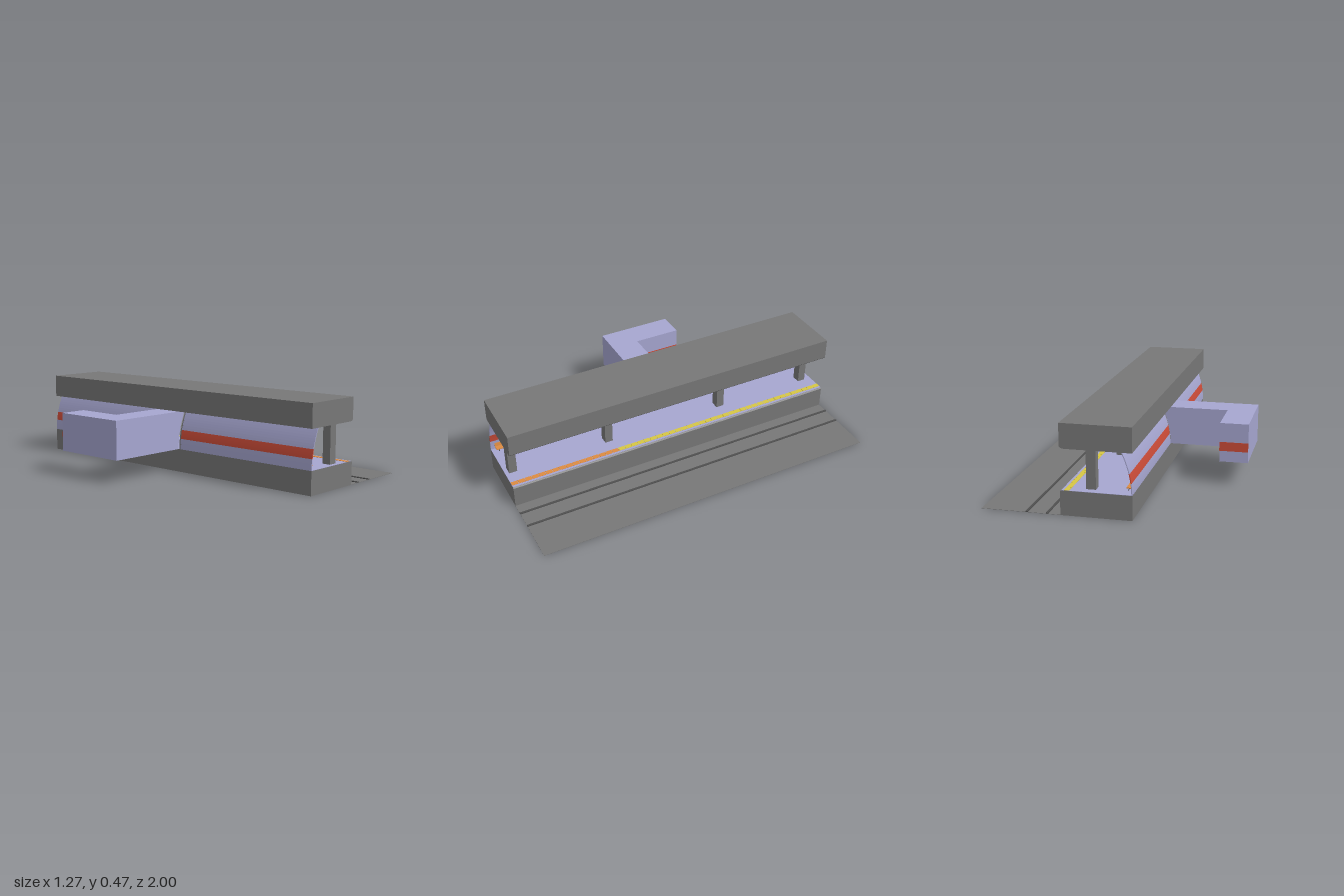
import * as THREE from 'three';

const mat = (name, color) => {
  const m = new THREE.MeshStandardMaterial({ color, side: THREE.DoubleSide });
  m.name = name;
  return m;
};

export function createModel() {
  const concrete = mat('concrete grey', 0x777777);
  const blue = mat('pale blue', 0xa6a6d0);
  const red = mat('stripe red', 0xcc4c38);
  const yellow = mat('safety yellow', 0xd6c644);
  const orange = mat('bench orange', 0xdd8c42);
  const dark = mat('dark grey', 0x505050);
  const station = new THREE.Group();
  station.name = 'station';

  const add = (name, geometry, material, parent = station) => {
    const mesh = new THREE.Mesh(geometry, material);
    mesh.name = name;
    parent.add(mesh);
    return mesh;
  };
  // Box given by its limits on each axis
  const box = (name, material, x0, x1, y0, y1, z0, z1, parent) => {
    const m = add(name, new THREE.BoxGeometry(x1 - x0, y1 - y0, z1 - z0), material, parent);
    m.position.set((x0 + x1) / 2, (y0 + y1) / 2, (z0 + z1) / 2);
    return m;
  };
  // Outline in x,y swept along z
  const sweep = (name, material, points, z0, z1) => {
    const shape = new THREE.Shape(points.map(([x, y]) => new THREE.Vector2(x, y)));
    const g = new THREE.ExtrudeGeometry(shape, { depth: z1 - z0, bevelEnabled: false });
    g.translate(0, 0, z0);
    return add(name, g, material);
  };

  const back = -0.155, edge = 0.213, floorY = 0.13, ceilY = 0.345;
  // Leaning curve of the rear wall
  const wallX = (y) => back + 0.05 * ((y - floorY) / (ceilY - floorY)) ** 2;
  const curve = (y0, y1, offset = 0, n = 8) => Array.from({ length: n + 1 }, (_, i) => {
    const y = y0 + (y1 - y0) * i / n;
    return [wallX(y) + offset, y];
  });
  const wallBand = (name, material, y0, y1, z0, z1, thick) => sweep(name, material,
    [...curve(y0, y1), ...curve(y0, y1, thick).reverse()], z0, z1);

  // Platform and roof slabs
  sweep('platform', concrete, [[back, 0], [edge, 0], [edge, 0.124], [0.207, floorY], [back, floorY]], -1, 1);
  sweep('roof', concrete, [[back, ceilY], [0.19, ceilY], [0.206, 0.348], [edge, 0.356],
    [edge, 0.475], [back, 0.475]], -1, 1);
  box('platformFloor', blue, back + 0.001, 0.206, floorY, floorY + 0.0015, -1, 1);

  // Warning strip along the platform edge, in tiles
  const tiles = 50;
  for (let i = 0; i < tiles; i++) {
    const z = -1 + (2 * i) / tiles;
    box('edgeTile', z > 0.35 ? orange : yellow, 0.165, 0.192, floorY, floorY + 0.003, z + 0.001, z + 0.039);
  }

  // Track bed and rails
  box('trackBed', concrete, edge, 0.632, 0, 0.0015, -1, 1);
  for (const x of [0.283, 0.39]) box('rail', dark, x - 0.006, x + 0.006, 0.0015, 0.006, -1, 1);

  // Curved rear wall on both sides of the doorway
  for (const [z0, z1] of [[-1, -0.095], [0.095, 1]]) {
    wallBand('wallLower', blue, floorY, 0.19, z0, z1, 0.005);
    wallBand('wallStripe', red, 0.19, 0.24, z0, z1, 0.005);
    wallBand('wallUpper', blue, 0.24, ceilY, z0, z1, 0.005);
  }
  for (const z of [-0.095, 0.095]) wallBand('doorFrame', concrete, floorY, ceilY, z - 0.008, z + 0.008, 0.008);

  // Pillars
  for (const z of [0.955, 0.378, -0.352, -0.935]) {
    box('pillar', concrete, 0.04, 0.09, floorY, ceilY, z - 0.023, z + 0.023);
  }

  // Hanging signs
  for (const z of [0.755, 0.29, -0.24, -0.7]) {
    box('sign', yellow, 0.06, 0.07, 0.313, 0.333, z - 0.038, z + 0.038);
    for (const s of [-0.025, 0.025]) {
      box('signHanger', dark, 0.063, 0.067, 0.333, ceilY, z + s - 0.002, z + s + 0.002);
    }
  }

  // Benches along the wall
  for (const z of [0.93, 0.58, 0.185, -0.19, -0.58, -0.9]) {
    const bench = new THREE.Group();
    bench.name = 'bench';
    bench.position.set(-0.128, floorY, z);
    station.add(bench);
    box('benchSeat', orange, -0.015, 0.016, 0.017, 0.022, -0.047, 0.047, bench);
    const rest = box('benchBack', orange, -0.018, -0.014, 0.022, 0.042, -0.047, 0.047, bench);
    rest.rotation.z = 0.15;
    for (const s of [-0.03, 0.03]) {
      for (const d of [-1, 1]) {
        const leg = box('benchLeg', dark, d * 0.007 - 0.0015, d * 0.007 + 0.0015, 0, 0.017, s - 0.002, s + 0.002, bench);
        leg.rotation.z = d * 0.4;
      }
    }
  }

  // L-shaped exit passage, open towards the platform
  const t = 0.003, far = -0.635, inner = -0.48, zFront = 0.081, zBack = -0.085, zEnd = -0.36;
  for (const [y, mouth] of [[floorY, back], [ceilY - t, wallX(ceilY)]]) {
    box('passageSlab', blue, far, mouth, y, y + t, zBack, zFront);
    box('passageSlab', blue, far, inner, y, y + t, zEnd, zBack);
  }
  const side = (name, x0, z) => sweep(name, blue, [[x0, floorY], ...curve(floorY, ceilY), [x0, ceilY]], z, z + t);
  side('passageFrontWall', far, zFront - t);
  side('passageBackWall', inner, zBack);
  box('passageFarWall', blue, far, far + t, floorY, ceilY, zEnd, zFront);
  box('passageInnerWall', blue, inner - t, inner, floorY, ceilY, zEnd, zBack);
  box('passageEndWall', blue, far, inner, floorY, ceilY, zEnd, zEnd + t);
  box('passageInnerStripe', red, inner, inner + 0.0015, 0.19, 0.24, zEnd, zBack);
  box('passageEndStripe', red, far, inner, 0.19, 0.24, zEnd - 0.0015, zEnd);

  return station;
}
